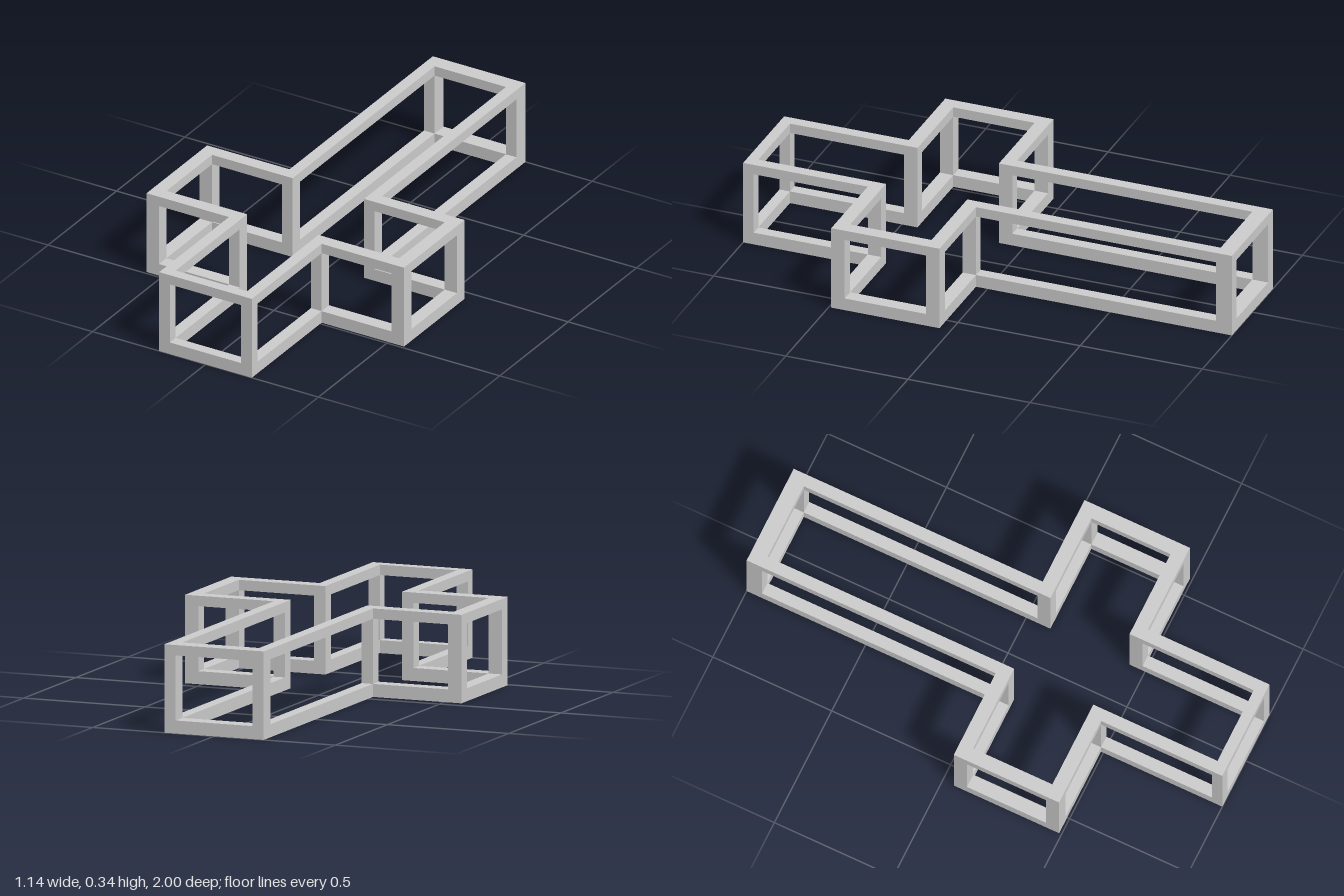
import * as THREE from 'three';

const HEIGHT = 0.34, BOTTOM = 0.05, TOP = 0.04;

// Cross outline in plan (x, z): stem half-width, arm half-width, stem ends, arm edges
const outer = { stem: 0.205, arm: 0.57, back: -1, armBack: 0.047, armFront: 0.49, front: 1 };
const inner = { stem: 0.158, arm: 0.515, back: -0.935, armBack: 0.102, armFront: 0.435, front: 0.957 };

function crossPoints({ stem, arm, back, armBack, armFront, front }) {
  const half = [[stem, back], [stem, armBack], [arm, armBack], [arm, armFront], [stem, armFront], [stem, front]];
  const mirrored = half.map(([x, z]) => [-x, z]).reverse();
  return [...half, ...mirrored].map(([x, z]) => new THREE.Vector2(x, z));
}

export function createModel() {
  const model = new THREE.Group();
  model.name = 'crossFrame';
  const material = new THREE.MeshStandardMaterial({ color: 0xcccccc, flatShading: true });
  const outerPoints = crossPoints(outer);
  const innerPoints = crossPoints(inner);

  // Horizontal cross-shaped rails
  function addRail(name, topY, thickness) {
    const shape = new THREE.Shape(outerPoints);
    shape.holes.push(new THREE.Path(innerPoints));
    const geometry = new THREE.ExtrudeGeometry(shape, { depth: thickness, bevelEnabled: false });
    geometry.rotateX(Math.PI / 2);
    const rail = new THREE.Mesh(geometry, material);
    rail.name = name;
    rail.position.y = topY;
    model.add(rail);
  }
  addRail('bottomRail', BOTTOM, BOTTOM);
  addRail('topRail', HEIGHT, TOP);

  // Upright post at each of the twelve corners, between the rails
  const posts = new THREE.Group();
  posts.name = 'cornerPosts';
  const postHeight = HEIGHT - BOTTOM - TOP;
  outerPoints.forEach((a, i) => {
    const b = innerPoints[i];
    const post = new THREE.Mesh(
      new THREE.BoxGeometry(Math.abs(a.x - b.x), postHeight, Math.abs(a.y - b.y)), material);
    post.name = 'cornerPost';
    post.position.set((a.x + b.x) / 2, BOTTOM + postHeight / 2, (a.y + b.y) / 2);
    posts.add(post);
  });
  model.add(posts);
  return model;
}
